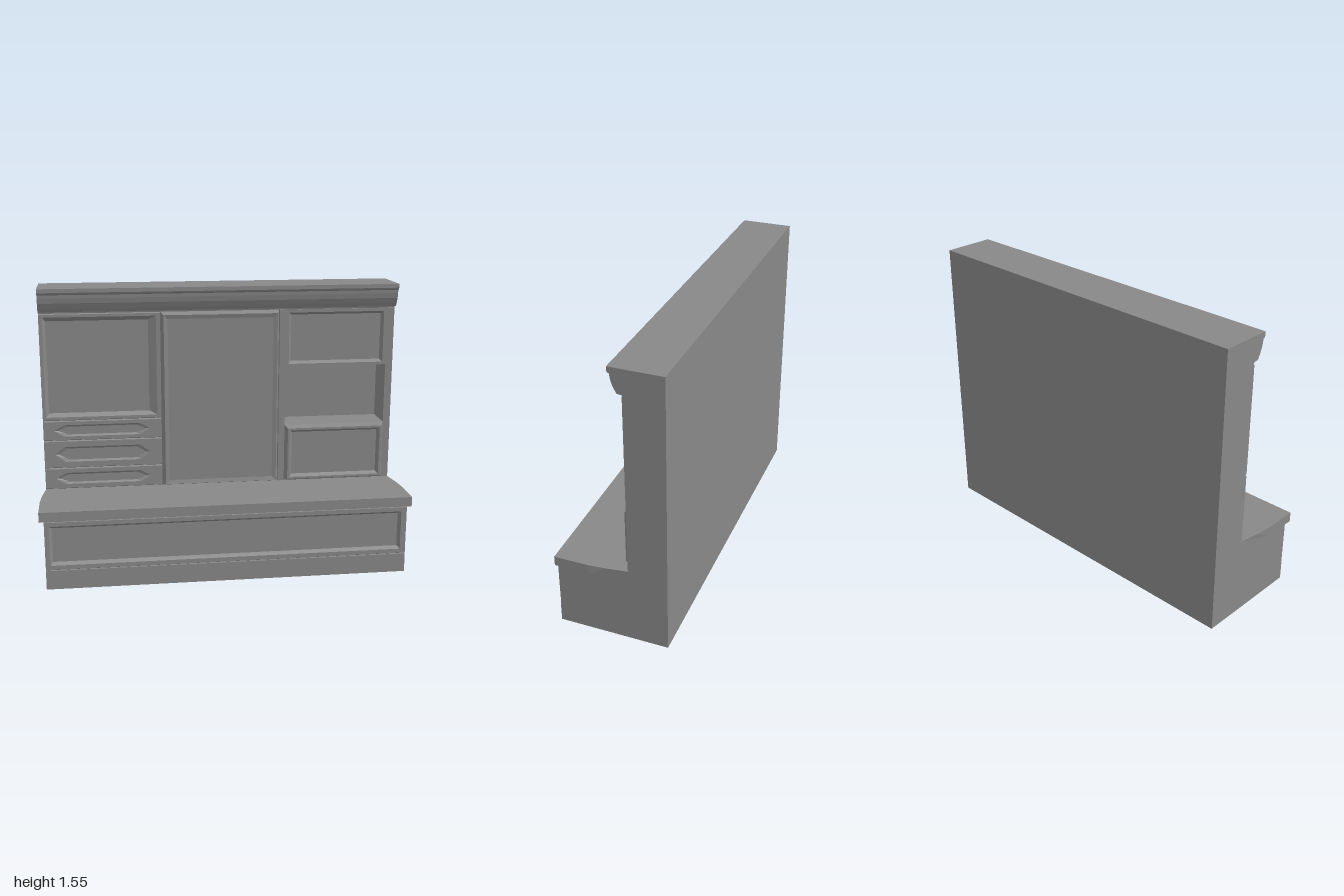
import * as THREE from 'three';
import { ConvexGeometry } from 'three/addons/geometries/ConvexGeometry.js';

const material = new THREE.MeshStandardMaterial({ color: 0x888888, flatShading: true });
const BACK = -0.297, UPPER = -0.09, LOWER = 0.293, CORE = -0.12, SEAM = 0.427;

// Six-point rectangle (with side midpoints) so it bridges to hexagons too
const rect = (x0, x1, y0, y1, inset = 0) => {
  const a = x0 + inset, b = x1 - inset, c = y0 + inset, d = y1 - inset, m = (c + d) / 2;
  return [[a, c], [b, c], [b, m], [b, d], [a, d], [a, m]];
};

const hexagon = (x0, x1, y, h, inset = 0) => {
  const a = x0 + inset * 2, b = x1 - inset * 2, k = h - inset, s = 0.055;
  return [[a + s, y - k], [b - s, y - k], [b, y], [b - s, y + k], [a + s, y + k], [a, y]];
};

// Loops of a front slab whose top and bottom edges are chamfered into V-grooves
const slab = (x0, x1, y0, y1, z) => [
  [rect(x0, x1, y0, y1), z - 0.03], [rect(x0, x1, y0, y1), z - 0.01],
  [rect(x0, x1, y0 + 0.005, y1 - 0.005), z],
];

// Bridges successive [outline, z] loops and caps the last one
function relief(loops) {
  const pos = [];
  const put = ([p, z], i) => pos.push(p[i][0], p[i][1], z);
  for (let l = 0; l + 1 < loops.length; l++) {
    const A = loops[l], B = loops[l + 1];
    for (let i = 0; i < 6; i++) {
      const j = (i + 1) % 6;
      put(A, i); put(A, j); put(B, j);
      put(A, i); put(B, j); put(B, i);
    }
  }
  const last = loops[loops.length - 1];
  for (let i = 1; i < 5; i++) { put(last, 0); put(last, i); put(last, i + 1); }
  const g = new THREE.BufferGeometry();
  g.setAttribute('position', new THREE.Float32BufferAttribute(pos, 3));
  g.computeVertexNormals();
  return g;
}

export function createModel() {
  const group = new THREE.Group();
  group.name = 'wallCabinet';
  const add = (name, geometry) => {
    const mesh = new THREE.Mesh(geometry, material);
    mesh.name = name;
    group.add(mesh);
  };
  const box = (name, x0, x1, y0, y1, z0, z1) => add(name,
    new THREE.BoxGeometry(x1 - x0, y1 - y0, z1 - z0)
      .translate((x0 + x1) / 2, (y0 + y1) / 2, (z0 + z1) / 2));

  // Carcass, leaving the open niche on the left side of the cabinet
  box('benchCore', -0.975, 0.975, 0, SEAM, BACK, LOWER - 0.03);
  box('backPanel', 0.365, 0.935, SEAM, 1.41, BACK, -0.27);
  box('mainCarcass', -0.975, 0.33, SEAM, 1.41, BACK, CORE);
  box('innerPost', 0.33, 0.365, SEAM, 1.41, BACK, UPPER);
  box('outerPost', 0.935, 0.975, SEAM, 1.41, BACK, UPPER);
  box('upperCupboardCore', 0.365, 0.935, 1.09, 1.41, -0.27, CORE);
  box('lowerCupboardCore', 0.365, 0.935, SEAM, 0.757, -0.27, CORE);

  // Bench front: plinth and long recessed panel
  box('plinth', -0.975, 0.975, 0, 0.104, LOWER - 0.03, LOWER + 0.002);
  const benchPanel = [-0.95, 0.945, 0.132, 0.349];
  add('benchPanel', relief([
    ...slab(-0.975, 0.975, 0.104, 0.377, LOWER),
    [rect(...benchPanel), LOWER], [rect(...benchPanel, 0.014), LOWER - 0.02],
  ]));

  // Bench top, its ends tapering and rising toward the upper cabinet
  const top = [];
  for (const s of [-1, 1]) {
    for (const [x, y, z] of [
      [1, 0.43, 0.297], [1, 0.377, 0.297], [1, 0.43, 0.12], [1, 0.377, 0.11],
      [0.992, 0.43, 0.02], [0.975, 0.43, -0.095], [0.975, 0.421, -0.05],
    ]) top.push(new THREE.Vector3(s * x, y, z));
  }
  add('benchTop', new ConvexGeometry(top));

  // Large door on the right side, with a wide shallow chamfer at one edge
  add('sideDoor', relief([
    ...slab(-0.975, -0.329, 0.819, 1.408, UPPER),
    [rect(-0.957, -0.35, 0.84, 1.388), UPPER],
    [rect(-0.94, -0.392, 0.86, 1.366), UPPER - 0.02],
  ]));

  // Three drawers with shallow hexagonal hollows
  [[0.43, 0.55], [0.55, 0.707], [0.707, 0.819]].forEach(([y0, y1], i) => {
    const h = i === 1 ? 0.042 : 0.032, y = (y0 + y1) / 2;
    add('drawer' + (i + 1), relief([
      ...slab(-0.975, -0.329, y0, y1, UPPER),
      [hexagon(-0.917, -0.393, y, h), UPPER],
      [hexagon(-0.917, -0.393, y, h, 0.01), UPPER - 0.007],
    ]));
  });

  // Projecting central door with a gently sunken field
  const centre = [-0.325, 0.325, 0.432, 1.408];
  const face = [-0.311, 0.311, 0.446, 1.395];
  add('centralDoor', relief([
    [rect(...centre), CORE], [rect(...centre), UPPER],
    [rect(...face), -0.05], [rect(...face, 0.022), -0.056],
  ]));

  // Recessed cupboard door above the niche
  const upper = [0.365, 0.935, 1.09, 1.408];
  const upperPanel = [0.383, 0.917, 1.105, 1.391];
  add('upperCupboardDoor', relief([
    [rect(...upper), CORE], [rect(...upper), UPPER],
    [rect(...upperPanel), UPPER], [rect(...upperPanel, 0.014), UPPER - 0.02],
  ]));

  // Projecting cupboard door below the niche
  const lower = [0.365, 0.935, 0.432, 0.757];
  add('lowerCupboardDoor', relief([
    [rect(...lower), CORE], [rect(...lower), UPPER],
    [rect(...lower, 0.014), -0.058], [rect(...lower, 0.026), -0.058],
    [rect(...lower, 0.04), -0.078],
  ]));

  // Crown moulding, a side profile extruded across the full width
  const profile = [
    [BACK, 1.408], [-0.094, 1.408], [-0.092, 1.416], [-0.066, 1.42], [-0.055, 1.44],
    [-0.042, 1.468], [-0.036, 1.495], [-0.034, 1.513], [-0.025, 1.518],
    [-0.021, 1.526], [-0.021, 1.547], [BACK, 1.547],
  ];
  const crown = new THREE.ExtrudeGeometry(
    new THREE.Shape(profile.map(([z, y]) => new THREE.Vector2(-z, y))),
    { depth: 1.95, bevelEnabled: false });
  add('crownMoulding', crown.rotateY(Math.PI / 2).translate(-0.975, 0, 0));

  return group;
}
